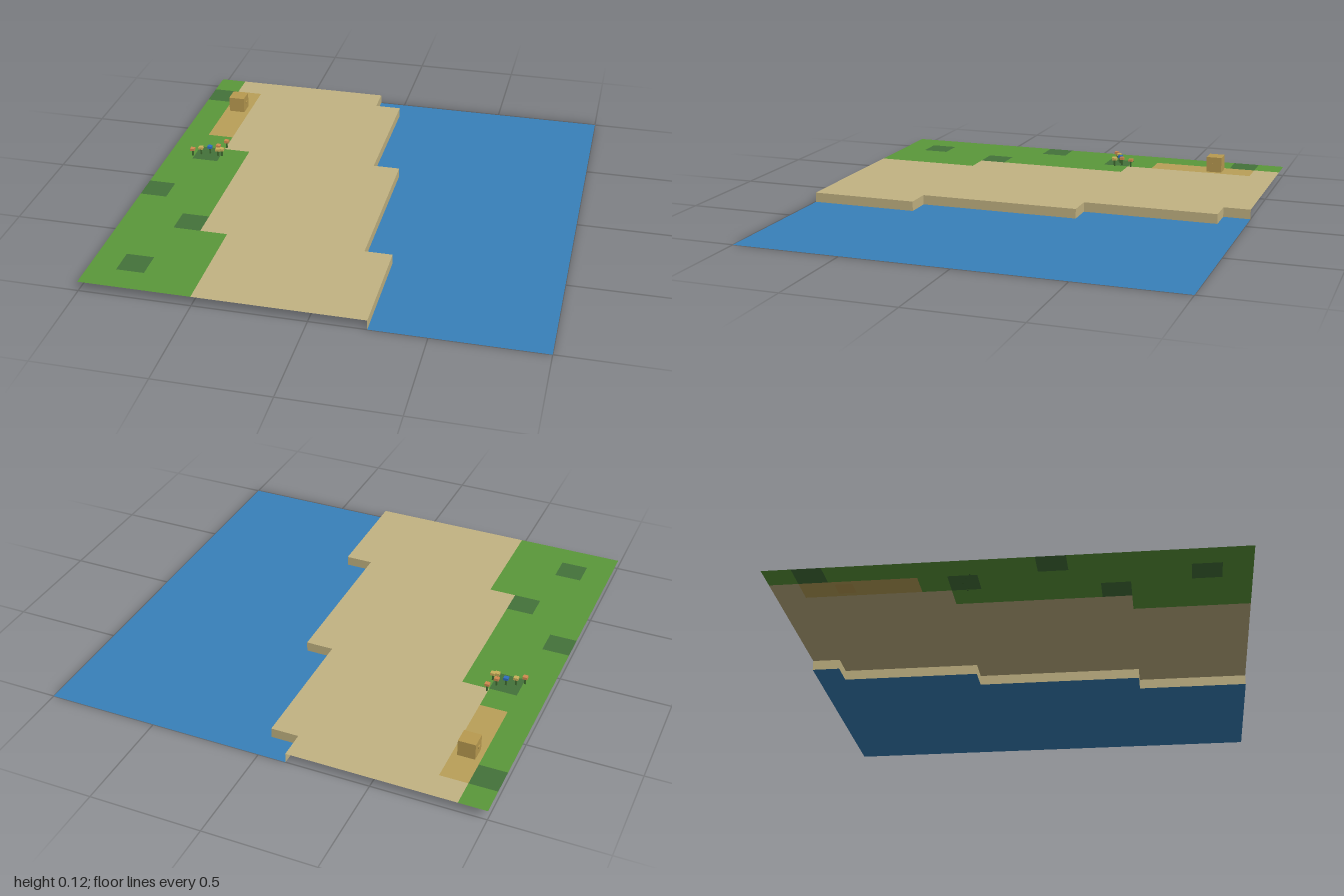
import * as THREE from 'three';
import { mergeGeometries } from 'three/addons/utils/BufferGeometryUtils.js';

const CELL = 0.125, COUNT = 16, LAND = 0.045;

const mat = (name, color, twoSided = false) => {
  const m = new THREE.MeshStandardMaterial({ color });
  m.name = name;
  if (twoSided) m.side = THREE.DoubleSide;
  return m;
};

// Column where grass ends and where water begins, for each row from back to front
const grassEnd = (row) => (row < 5 ? 1 : row < 6 ? 2 : row < 12 ? 3 : 4);
const shore = (row) => (row < 1 ? 7 : row < 6 ? 8 : row < 12 ? 9 : 10);
const SCRUB = ['0,1', '1,6', '0,9', '2,11', '1,14']; // column,row

function tileKind(col, row) {
  if (SCRUB.includes(`${col},${row}`)) return 'scrub';
  if (col >= shore(row)) return 'water';
  if (col < grassEnd(row)) return 'grass';
  if (col === 1 && row >= 1 && row < 5) return 'path';
  return 'sand';
}

export function createModel() {
  const group = new THREE.Group();
  group.name = 'coastTile';
  const mats = {
    water: mat('water blue', 0x3880b9, true),
    sand: mat('sand', 0xc2b382, true),
    grass: mat('grass green', 0x5b983a, true),
    scrub: mat('dark green', 0x44723a, true),
    path: mat('ochre', 0xb9a058, true),
    crate: mat('crate wood', 0xb89a50),
    stem: mat('stem green', 0x3f6b30),
    orange: mat('petal orange', 0xd08a50),
    yellow: mat('petal yellow', 0xc9b05a),
    blue: mat('petal blue', 0x2f6fc0),
  };
  const add = (name, geo, material, x = 0, y = 0, z = 0, parent = group) => {
    const mesh = new THREE.Mesh(geo, material);
    mesh.name = name;
    mesh.position.set(x, y, z);
    parent.add(mesh);
    return mesh;
  };

  // Ground tiles, merged into one sheet per colour
  const tiles = { water: [], sand: [], grass: [], scrub: [], path: [] };
  for (let row = 0; row < COUNT; row++) {
    for (let col = 0; col < COUNT; col++) {
      const kind = tileKind(col, row);
      tiles[kind].push(new THREE.PlaneGeometry(CELL, CELL).rotateX(-Math.PI / 2)
        .translate(-1 + (col + 0.5) * CELL, kind === 'water' ? 0 : LAND, -1 + (row + 0.5) * CELL));
    }
  }
  for (const kind in tiles) add(`${kind}Ground`, mergeGeometries(tiles[kind]), mats[kind]);

  // Low bank where the beach drops to the water
  const bank = [];
  for (let row = 0; row < COUNT; row++) {
    const x = -1 + shore(row) * CELL, z = -1 + row * CELL;
    bank.push(new THREE.PlaneGeometry(CELL, LAND).rotateY(Math.PI / 2)
      .translate(x, LAND / 2, z + CELL / 2));
    if (row > 0 && shore(row) !== shore(row - 1)) {
      bank.push(new THREE.PlaneGeometry(CELL, LAND).rotateY(Math.PI)
        .translate(x - CELL / 2, LAND / 2, z));
    }
  }
  add('shoreBank', mergeGeometries(bank), mats.sand);

  // Crate with a small handle on each side
  const crate = new THREE.Group();
  crate.name = 'crate';
  crate.position.set(-0.8125, LAND, -0.6895);
  group.add(crate);
  add('crateBody', new THREE.BoxGeometry(0.078, 0.075, 0.075), mats.crate, 0, 0.0375, 0, crate);
  for (const side of [-1, 1]) {
    add('crateHandle', new THREE.BoxGeometry(0.005, 0.01, 0.018), mats.crate, side * 0.041, 0.04, 0, crate);
  }

  // Flower patch: x, z, petal colour
  const flowers = [
    [-0.882, -0.155, 'orange'], [-0.847, -0.177, 'yellow'], [-0.807, -0.195, 'blue'],
    [-0.77, -0.214, 'orange'], [-0.761, -0.177, 'yellow'], [-0.745, -0.267, 'orange'],
    [-0.743, -0.183, 'yellow'],
  ];
  const stemGeo = new THREE.BoxGeometry(0.007, 0.03, 0.007);
  const headGeo = new THREE.BoxGeometry(0.021, 0.012, 0.021);
  for (const [x, z, petal] of flowers) {
    const flower = new THREE.Group();
    flower.name = 'flower';
    flower.position.set(x, LAND, z);
    group.add(flower);
    add('flowerStem', stemGeo, mats.stem, 0, 0.015, 0, flower);
    add('flowerHead', headGeo, mats[petal], 0, 0.035, 0, flower);
  }
  return group;
}
